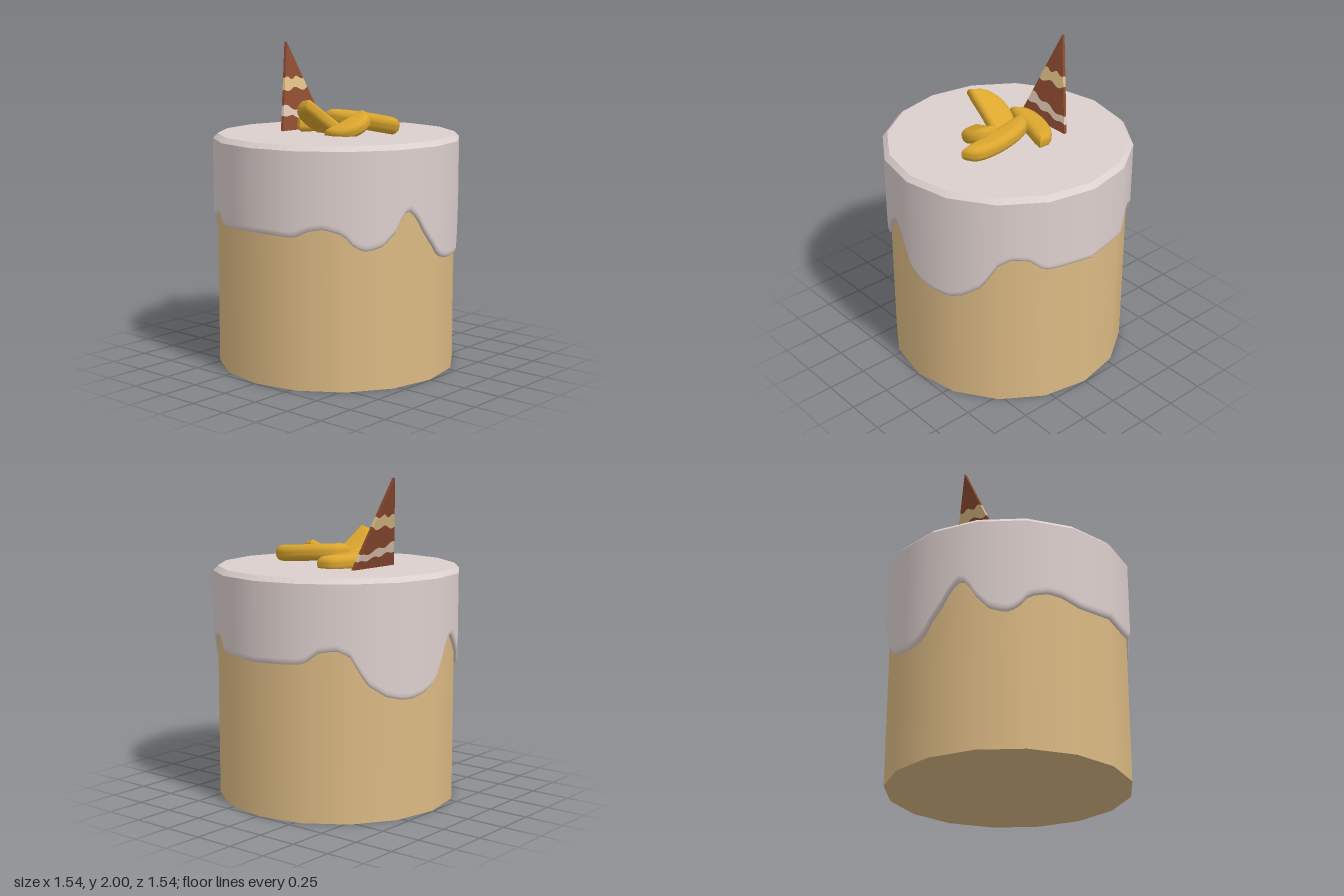
import * as THREE from 'three';
import { toCreasedNormals } from 'three/addons/utils/BufferGeometryUtils.js';

const mat = (name, color) => {
  const m = new THREE.MeshStandardMaterial({ color });
  m.name = name;
  return m;
};

// Lower edge of the icing: [x, y] pairs, mirrored front to back
const DRIP = [
  [-0.77, 0.92], [-0.72, 0.91], [-0.67, 0.95], [-0.62, 0.965], [-0.56, 0.935], [-0.5, 0.855],
  [-0.44, 0.83], [-0.36, 0.855], [-0.28, 0.95], [-0.24, 1.03], [-0.19, 1.055], [-0.13, 1.01],
  [-0.07, 0.91], [0.0, 0.82], [0.05, 0.765], [0.12, 0.735], [0.2, 0.72], [0.28, 0.727],
  [0.36, 0.75], [0.45, 0.82], [0.5, 0.9], [0.54, 0.99], [0.59, 1.03], [0.65, 1.015],
  [0.69, 0.96], [0.73, 0.94], [0.77, 0.935],
];
function dripY(x) {
  for (let i = 1; i < DRIP.length; i++) {
    const [x0, y0] = DRIP[i - 1], [x1, y1] = DRIP[i];
    if (x <= x1) return THREE.MathUtils.lerp(y0, y1, Math.max(0, (x - x0) / (x1 - x0)));
  }
  return DRIP[DRIP.length - 1][1];
}

// Icing skirt on a 16-sided plan, with a rounded, wavy lower edge
function icingSkirt() {
  const geo = new THREE.CylinderGeometry(1, 1, 1, 128, 5, true);
  const pos = geo.attributes.position, nor = geo.attributes.normal;
  const step = Math.PI / 8;
  // per row: radius, height above the drip edge, downward lean of the normal
  const rows = [[0.77, null, 0], [0.77, 0.12, 0], [0.77, 0.04, 0], [0.766, 0.018, -0.3], [0.755, 0.003, -0.9], [0.728, 0, -1.6]];
  for (let i = 0; i < pos.count; i++) {
    const [radius, lift, lean] = rows[Math.round((0.5 - pos.getY(i)) * 5)];
    const a = Math.atan2(pos.getX(i), pos.getZ(i)) + Math.PI * 2;
    const k = Math.cos(step / 2) / Math.cos(((a + 1e-6) % step) - step / 2);
    const x = Math.sin(a) * k, z = Math.cos(a) * k;
    pos.setXYZ(i, x * radius, lift === null ? 1.42 : dripY(x * 0.77) + lift, z * radius);
    const n = new THREE.Vector3(Math.sin(a), lean, Math.cos(a)).normalize();
    nor.setXYZ(i, n.x, n.y, n.z);
  }
  return geo;
}

// Half-moon fruit slice: straight edge from p to q, bulging toward side
function fruitSlice(p, q, side, width, thick, material) {
  const P = new THREE.Vector3(...p), Q = new THREE.Vector3(...q);
  const u = Q.clone().sub(P), b = thick * 0.42;
  const L = u.length() - 2 * b, W = width - 2 * b;
  u.normalize();
  const n = u.clone().cross(new THREE.Vector3(...side)).normalize();
  const v = n.clone().cross(u);
  const s = new THREE.Shape();
  s.moveTo(-L / 2, 0);
  s.quadraticCurveTo(0, 0.015, L / 2, 0);
  s.bezierCurveTo(L * 0.46, W * 1.25, -L * 0.4, W * 1.4, -L / 2, 0);
  let geo = new THREE.ExtrudeGeometry(s, {
    depth: thick - 2 * b, bevelSize: b, bevelThickness: b, bevelSegments: 5, curveSegments: 14,
  });
  geo.translate(0, b, -(thick - 2 * b) / 2);
  geo = toCreasedNormals(geo, 1.0);
  geo.applyMatrix4(new THREE.Matrix4().makeBasis(u, v, n).setPosition(P.add(Q).multiplyScalar(0.5)));
  return new THREE.Mesh(geo, material);
}

// Thin triangular wafer, cut into wavy bands
function wafer(brown, caramel, pale) {
  const H = 0.57, N = 20;
  const half = (h) => 0.2 * (1 - h / H);
  const lines = [
    () => 0,
    (s) => 0.075 - 0.025 * s + 0.008 * Math.sin(s * 9),
    (s) => 0.125 - 0.035 * s + 0.01 * Math.sin(s * 7 + 1),
    (s) => 0.262 + 0.012 * Math.sin(s * 5 + 2),
    (s) => 0.335 + 0.01 * Math.sin(s * 6),
  ];
  const bands = [['waferBase', brown], ['paleStripe', pale], ['waferMiddle', brown], ['caramelStripe', caramel], ['waferTip', brown]];
  const g = new THREE.Group();
  g.name = 'wafer';
  bands.forEach(([name, material], i) => {
    const pts = [];
    const edge = (f, dir) => {
      for (let j = 0; j <= N; j++) {
        const s = dir * (j / N * 2 - 1), h = f(s);
        pts.push(new THREE.Vector2(s * half(h), h));
      }
    };
    edge(lines[i], 1);
    if (lines[i + 1]) edge(lines[i + 1], -1);
    else pts.push(new THREE.Vector2(0, H));
    const geo = new THREE.ExtrudeGeometry(new THREE.Shape(pts), { depth: 0.02, bevelEnabled: false });
    geo.translate(0, 0, -0.01);
    const m = new THREE.Mesh(geo, material);
    m.name = name;
    g.add(m);
  });
  g.position.set(0.01, 1.448, -0.29);
  g.rotation.x = -0.272;
  return g;
}

export function createModel() {
  const model = new THREE.Group();
  model.name = 'cake';
  const sponge = mat('sponge', 0xdcba84);
  const icing = mat('icing', 0xdccfcd);
  const fruit = mat('fruit', 0xdba62e);
  const brown = mat('chocolate', 0x8a4a30);
  const caramel = mat('caramel', 0xdcbc85);
  const pale = mat('paleCream', 0xdcc3ae);
  const add = (name, geo, material) => {
    const m = new THREE.Mesh(geo, material);
    m.name = name;
    model.add(m);
    return m;
  };

  // Cake body
  add('cakeBody', new THREE.CylinderGeometry(0.745, 0.745, 1.4, 16), sponge).position.y = 0.7;

  // Icing
  add('icingTop', new THREE.CylinderGeometry(0.74, 0.77, 0.03, 16), icing).position.y = 1.435;
  add('icingDrips', icingSkirt(), icing);

  // Fruit slices
  const slices = new THREE.Group();
  slices.name = 'fruitSlices';
  [
    [[-0.16, 1.5, -0.15], [0.24, 1.475, -0.04], [0, 0, -1], 0.15, 0.1],
    [[-0.32, 1.65, 0.05], [0.03, 1.42, 0.09], [0, 0, -1], 0.2, 0.085],
    [[-0.18, 1.45, 0.06], [0.08, 1.57, 0.15], [0, 0, 1], 0.17, 0.085],
    [[0.0, 1.54, -0.1], [0.06, 1.5, 0.41], [1, 0, 0], 0.15, 0.1],
  ].forEach((a, i) => {
    const m = fruitSlice(...a, fruit);
    m.name = 'fruitSlice' + (i + 1);
    slices.add(m);
  });
  model.add(slices);

  // Wafer
  model.add(wafer(brown, caramel, pale));
  return model;
}
